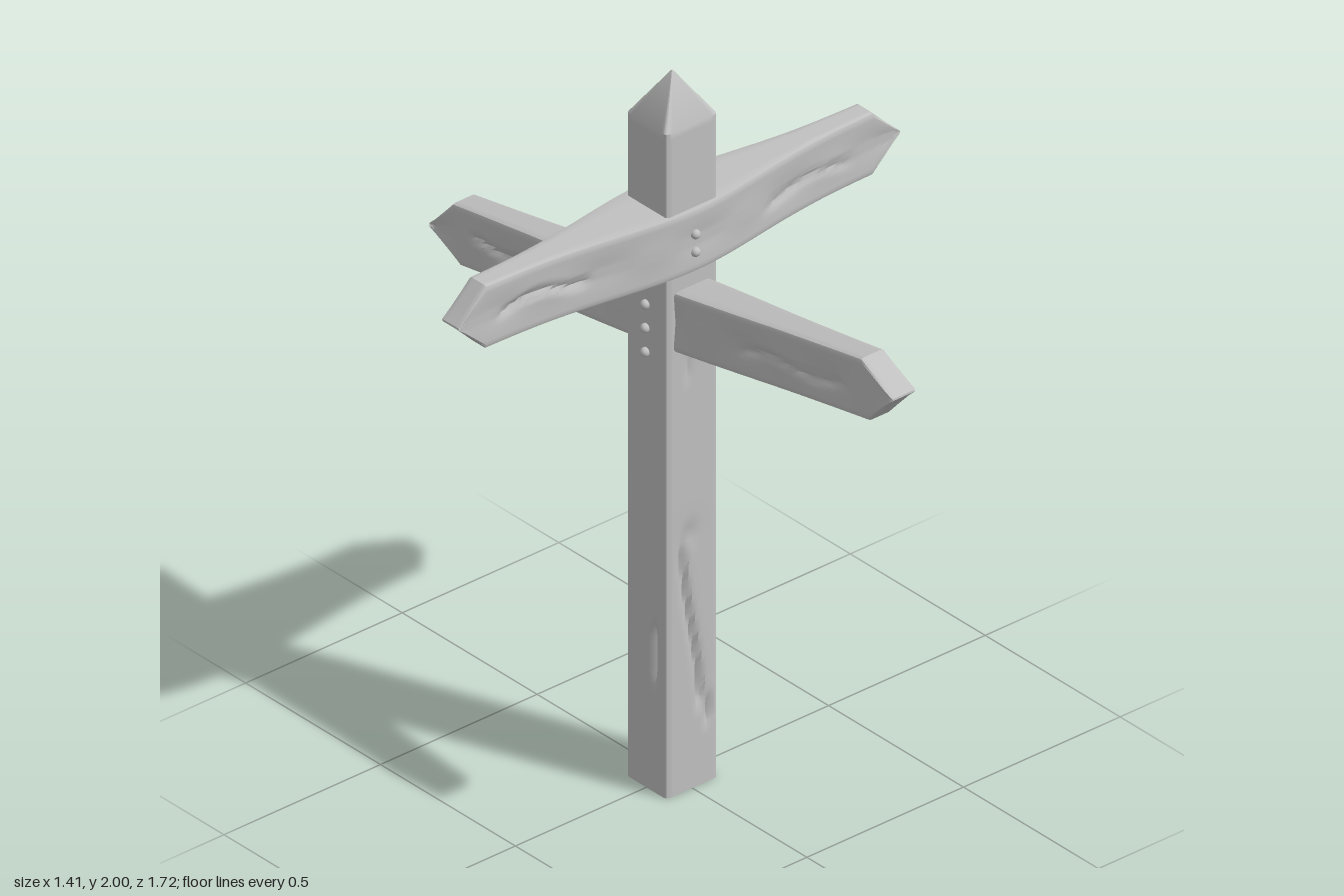
import * as THREE from 'three';
import { toCreasedNormals } from 'three/addons/utils/BufferGeometryUtils.js';

const wood = new THREE.MeshStandardMaterial({ color: 0xc0c0c0 });
wood.name = 'weathered grey wood';

// Soft bell curve for grooves and swellings
const bell = (d, w) => Math.exp(-((d / w) ** 2));
const ramp = (t) => THREE.MathUtils.smoothstep(t, 0, 1);
// 1 inside a..b, fading to 0 at both ends
const span = (t, a, b, fade) => ramp((t - a) / fade) * ramp((b - t) / fade);

// Rounds the corners of a cross-section point with half sizes a, b
function roundCorner(u, v, a, b, r) {
  const cu = THREE.MathUtils.clamp(u, r - a, a - r);
  const cv = THREE.MathUtils.clamp(v, r - b, b - r);
  const du = u - cu, dv = v - cv;
  const len = Math.hypot(du, dv);
  if (len <= r) return [u, v];
  return [cu + (du / len) * r, cv + (dv / len) * r];
}

// Moves every vertex of a geometry by a rule and keeps hard edges
function reshape(geometry, rule) {
  const p = geometry.attributes.position;
  for (let i = 0; i < p.count; i++) p.setXYZ(i, ...rule(p.getX(i), p.getY(i), p.getZ(i)));
  return toCreasedNormals(geometry, 0.6);
}

function addMesh(parent, name, geometry) {
  const mesh = new THREE.Mesh(geometry, wood);
  mesh.name = name;
  parent.add(mesh);
  return mesh;
}

// Square post with a pyramid top and long cracks on each side
function postGeometry() {
  const a = 0.082, b = 0.075, rows = 100, shoulder = 1.88;
  return reshape(new THREE.BoxGeometry(2 * a, rows, 2 * b, 16, rows, 16), (x, row, z) => {
    const k = Math.round(row + rows / 2);
    const y = k === rows ? 2 : (k / (rows - 1)) * shoulder;
    let [px, pz] = roundCorner(x, z, a, b, 0.011);
    if (k === rows) return [px * 0.02, y, pz * 0.02];
    if (Math.abs(z) > b - 0.001) {
      // cracks on front and back, turned half round for the back
      const s = Math.sign(z), u = x * s;
      const path = -0.03 + 0.055 * ramp((0.68 - y) / 0.45);
      let cut = 0.016 * bell(u - path, 0.011) * span(y, 0.2, 0.72, 0.06);
      cut += 0.012 * bell(u - 0.05, 0.01) * span(y, 0.15, 0.26, 0.04);
      cut += 0.008 * bell(u + 0.01, 0.025) * bell(y - 0.72, 0.03);
      cut += 0.006 * bell(u + 0.012, 0.01) * span(y, 1.14, 1.26, 0.04);
      pz -= s * cut;
    } else if (Math.abs(x) > a - 0.001) {
      // short cracks on the two other sides
      const s = Math.sign(x), u = -z * s;
      px -= s * 0.012 * bell(u - 0.03, 0.009) * span(y, 0.28, 0.5, 0.06);
    }
    return [px, y, pz];
  });
}

// Arrow board along x, pointed at both ends, thicker toward the middle
function boardGeometry({ length, height, tip, end, swell, width }) {
  const cols = 96, tipCols = 4, h = height / 2;
  return reshape(new THREE.BoxGeometry(cols, height, 2, cols, 18, 8), (col, y, side) => {
    const fromEnd = cols / 2 - Math.abs(col);
    const inner = length / 2 - tip;
    const ax = fromEnd < tipCols
      ? length / 2 - (tip * fromEnd) / tipCols
      : inner * (Math.abs(col) / (cols / 2 - tipCols));
    const x = Math.sign(col) * ax;
    const half = end + swell * bell(x, width);
    let [py, pz] = roundCorner(y, side * half, h, half, 0.01);
    if (Math.abs(side) > 0.99) {
      // grain cracks on both faces, one toward each end
      const s = Math.sign(side), t = x * s;
      const left = 0.012 * Math.sin(t * 24);
      const right = -0.012 + 0.01 * Math.sin(t * 19);
      let cut = 0.011 * bell(y - left, 0.011) * span(t, -length * 0.42, -length * 0.2, 0.05);
      cut += 0.008 * bell(y - right, 0.012) * span(t, length * 0.16, length * 0.41, 0.07);
      // shallow worn hollows
      cut += 0.003 * (1 + Math.sin(t * 21 + 1) * Math.cos(y * 30)) * bell(y, h * 0.6);
      pz -= s * cut;
    }
    const taper = Math.max(0.03, Math.min(1, fromEnd / tipCols));
    return [x, py * taper, pz];
  });
}

export function createModel() {
  const model = new THREE.Group();
  model.name = 'signpost';

  addMesh(model, 'post', postGeometry());

  // Level board running left to right
  const cross = addMesh(model, 'levelBoard', boardGeometry({
    length: 1.41, height: 0.177, tip: 0.088, end: 0.031, swell: 0.061, width: 0.32,
  }));
  cross.position.set(0, 1.557, -0.003);

  // Tilted board running front to back, front end raised
  const tilted = addMesh(model, 'tiltedBoard', boardGeometry({
    length: 1.745, height: 0.166, tip: 0.105, end: 0.037, swell: 0.022, width: 0.45,
  }));
  tilted.position.y = 1.3275;
  tilted.rotation.set(0, -Math.PI / 2, 0.17);

  // Nail heads holding both boards
  const nail = new THREE.SphereGeometry(0.013, 12, 8);
  for (const side of [-1, 1]) {
    for (const y of [1.235, 1.303, 1.37]) {
      addMesh(model, 'sideNail', nail).position.set(side * 0.086, y, 0);
    }
    for (const y of [1.525, 1.575]) {
      addMesh(model, 'boardNail', nail).position.set(0, y, side * 0.09 - 0.003);
    }
  }
  return model;
}
